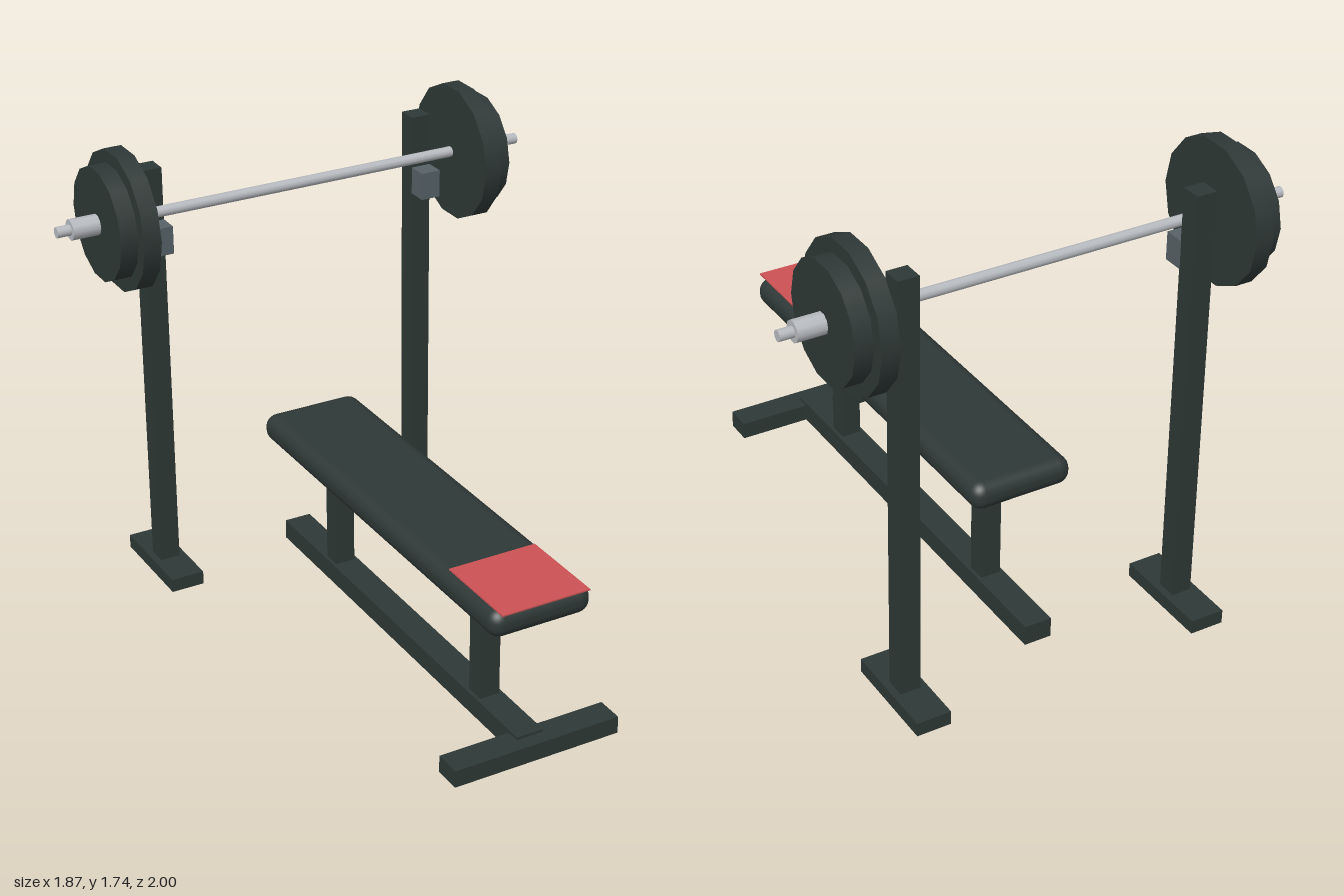
import * as THREE from 'three';
import { RoundedBoxGeometry } from 'three/addons/geometries/RoundedBoxGeometry.js';

export function createModel() {
  const group = new THREE.Group();
  const material = (name, color) => new THREE.MeshStandardMaterial({ name, color });
  const dark = material('dark frame', 0x2e3836);
  const steel = material('steel', 0xb8bbc0);
  const grey = material('slate grey', 0x566166);
  const red = material('red', 0xcc5254);

  const add = (name, geometry, mat, x, y, z) => {
    const mesh = new THREE.Mesh(geometry, mat);
    mesh.name = name;
    mesh.position.set(x, y, z);
    group.add(mesh);
    return mesh;
  };
  // Box given by its extents on each axis
  const box = (name, mat, [x0, x1], [y0, y1], [z0, z1]) =>
    add(name, new THREE.BoxGeometry(x1 - x0, y1 - y0, z1 - z0), mat,
      (x0 + x1) / 2, (y0 + y1) / 2, (z0 + z1) / 2);
  // Cylinder lying along x on the barbell axis
  const disc = (name, mat, radius, x0, x1, sides) =>
    add(name, new THREE.CylinderGeometry(radius, radius, x1 - x0, sides).rotateZ(Math.PI / 2),
      mat, (x0 + x1) / 2, 1.485, -0.725);

  // Bench
  add('pad', new RoundedBoxGeometry(0.388, 0.105, 1.65, 4, 0.048), dark, 0, 0.576, 0.163);
  box('towel', red, [-0.168, 0.168], [0.627, 0.632], [0.662, 1]);
  box('frontPost', dark, [-0.038, 0.038], [0.07, 0.54], [0.59, 0.665]);
  box('backPost', dark, [-0.038, 0.038], [0.07, 0.54], [-0.45, -0.376]);
  box('floorRail', dark, [-0.052, 0.052], [0, 0.076], [-0.767, 0.923]);
  box('frontFoot', dark, [-0.323, 0.323], [0, 0.065], [0.872, 0.975]);

  // Barbell shaft
  disc('bar', steel, 0.02, -0.933, 0.933, 10);

  // Rack and weights on both sides
  for (const s of [-1, 1]) {
    const span = (a, b) => (s > 0 ? [a, b] : [-b, -a]);
    box('rackFoot', dark, span(0.482, 0.61), [0, 0.052], [-1, -0.612]);
    box('upright', dark, span(0.508, 0.584), [0.04, 1.63], [-0.842, -0.766]);
    box('barRest', grey, span(0.508, 0.584), [1.33, 1.434], [-0.768, -0.69]);
    disc('largePlate', dark, 0.257, ...span(0.65, 0.715), 14);
    disc('smallPlate', dark, 0.208, ...span(0.713, 0.78), 14);
    disc('collar', steel, 0.038, ...span(0.775, 0.882), 10);
  }
  return group;
}
